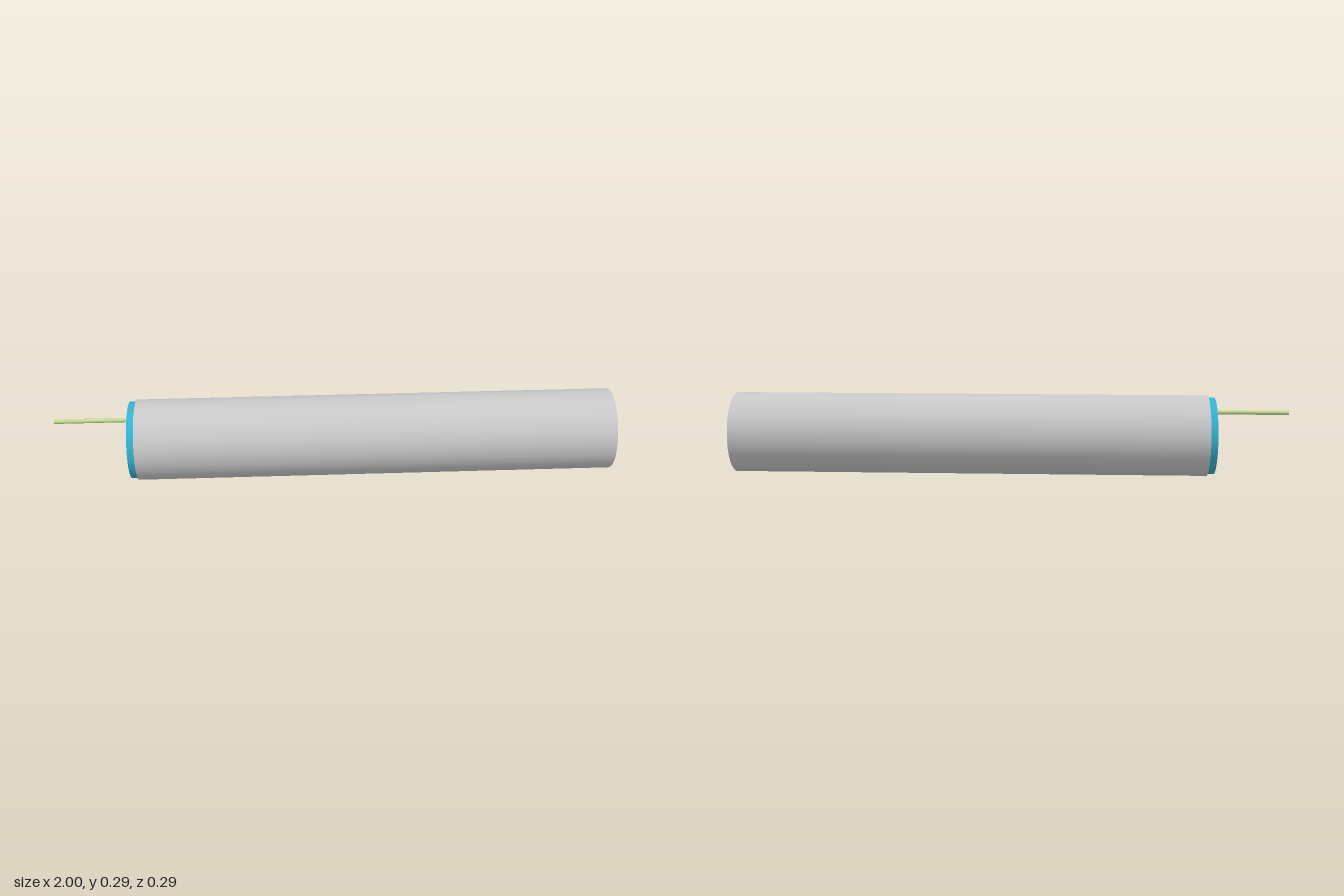
import * as THREE from 'three';

const AXIS_Y = 0.146;
const mat = (color) => new THREE.MeshStandardMaterial({ color });

// Ring of revolution about the x axis; profile is a closed loop of [radius, x],
// with each straight run built separately so that its edges stay sharp.
function ring(name, profile, material, segments = 96) {
  const group = new THREE.Group();
  group.name = name;
  profile.forEach((p, i) => {
    const q = profile[(i + 1) % profile.length];
    const geo = new THREE.LatheGeometry(
      [new THREE.Vector2(p[0], p[1]), new THREE.Vector2(q[0], q[1])], segments);
    geo.rotateZ(-Math.PI / 2);
    const mesh = new THREE.Mesh(geo, material);
    mesh.name = name + 'Face';
    group.add(mesh);
  });
  return group;
}

// Plain hollow cylinder from x0 to x1
const pipe = (name, rOut, rIn, x0, x1, material, segments) =>
  ring(name, [[rOut, x0], [rOut, x1], [rIn, x1], [rIn, x0]], material, segments);

export function createModel() {
  const model = new THREE.Group();
  model.name = 'tubeAssembly';
  const grey = mat(0xcccccc);
  const blue = mat(0x35b5d6);
  const green = mat(0xcadc96);

  // Long open tube
  const tube = pipe('mainTube', 0.145, 0.1365, -0.71, 1, grey);

  // Stepped end cap: rim outside the tube, sleeve inside, inner retaining lip
  const cap = ring('endCap', [
    [0.138, -0.735], [0.138, -0.711], [0.1362, -0.711], [0.1362, -0.672],
    [0.1, -0.672], [0.1, -0.7], [0.115, -0.7], [0.115, -0.718],
    [0.124, -0.718], [0.124, -0.735],
  ], blue);

  // Disc behind the cap, with a hole for the thin pipe
  const rodY = 0.086;
  const shape = new THREE.Shape().absarc(0, 0, 0.1345, 0, Math.PI * 2, false);
  const hole = new THREE.Path().absarc(0, rodY, 0.006, 0, Math.PI * 2, true);
  shape.holes.push(hole);
  const discGeo = new THREE.ExtrudeGeometry(shape, { depth: 0.012, bevelEnabled: false, curveSegments: 64 });
  discGeo.rotateY(Math.PI / 2);
  const disc = new THREE.Mesh(discGeo, green);
  disc.name = 'endDisc';
  disc.position.x = -0.672;

  // Thin hollow pipe leaving the disc through the cap
  const rod = pipe('thinPipe', 0.008, 0.006, -1, -0.662, green, 24);
  rod.position.y = rodY;

  model.add(tube, cap, disc, rod);

  // Four small pins set nearly flush in the disc
  for (const y of [-0.06, 0.061]) {
    for (const z of [-0.069, 0.069]) {
      const geo = new THREE.CylinderGeometry(0.0045, 0.0045, 0.015, 20);
      geo.rotateZ(Math.PI / 2);
      const pin = new THREE.Mesh(geo, green);
      pin.name = 'discPin';
      pin.position.set(-0.666, y, z);
      model.add(pin);
    }
  }

  for (const part of model.children) part.position.y += AXIS_Y;
  return model;
}
